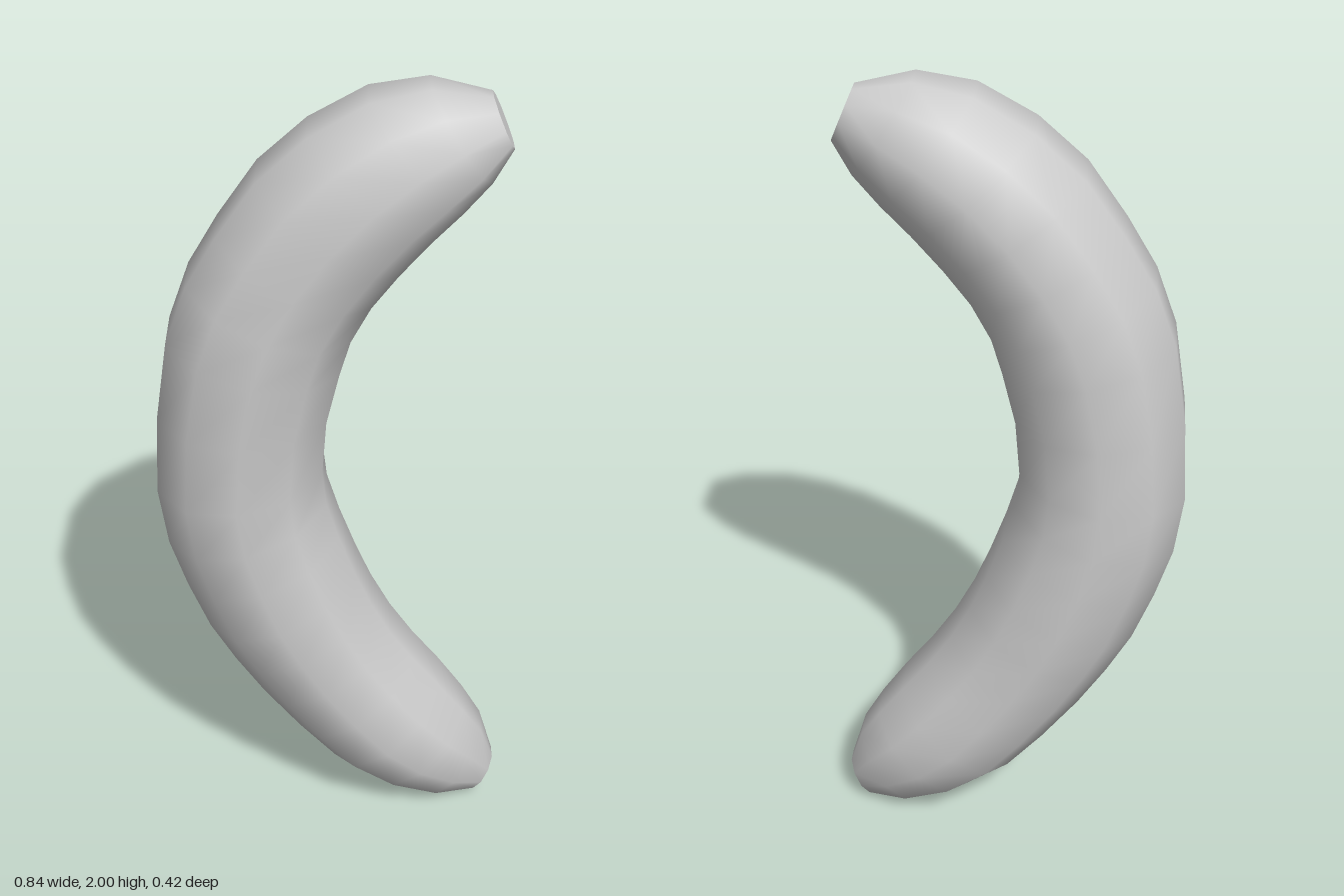
import * as THREE from 'three';

const SIDES = 10;

// Each ring: outer x, y then inner x, y of the curved body, from bottom to top
const RINGS = [
  [0.36, 0.005, 0.42, 0.11], [0.24, 0.02, 0.385, 0.22], [0.11, 0.075, 0.335, 0.3],
  [0, 0.155, 0.27, 0.39], [-0.09, 0.26, 0.2, 0.48], [-0.18, 0.38, 0.14, 0.57],
  [-0.25, 0.49, 0.09, 0.665], [-0.31, 0.6, 0.05, 0.76], [-0.36, 0.73, 0.01, 0.87],
  [-0.4, 0.86, -0.02, 0.97], [-0.42, 1.01, -0.03, 1.06], [-0.41, 1.21, -0.02, 1.2],
  [-0.38, 1.41, 0.01, 1.33], [-0.33, 1.55, 0.035, 1.415], [-0.26, 1.67, 0.08, 1.5],
  [-0.17, 1.8, 0.14, 1.58], [-0.06, 1.9, 0.21, 1.66], [0.07, 1.975, 0.275, 1.725],
  [0.2, 2, 0.335, 1.79], [0.33, 1.975, 0.38, 1.86],
];

// Ten-sided section with a flat side towards the inside and outside of the bend
function ringPoints([ox, oy, ix, iy]) {
  const centre = new THREE.Vector3((ox + ix) / 2, (oy + iy) / 2, 0);
  const across = new THREE.Vector3(ix - ox, iy - oy, 0);
  const radius = across.length() / 2 / Math.cos(Math.PI / SIDES);
  across.normalize();
  return Array.from({ length: SIDES }, (_, j) => {
    const a = ((j + 0.5) / SIDES) * Math.PI * 2;
    const p = centre.clone().addScaledVector(across, Math.cos(a) * radius);
    p.z = Math.sin(a) * radius;
    return p;
  });
}

function makeMesh(name, points, index, material) {
  const geometry = new THREE.BufferGeometry().setFromPoints(points);
  geometry.setIndex(index);
  geometry.computeVertexNormals();
  const mesh = new THREE.Mesh(geometry, material);
  mesh.name = name;
  return mesh;
}

export function createModel() {
  const group = new THREE.Group();
  group.name = 'curvedFruit';
  const material = new THREE.MeshStandardMaterial({ color: 0xcccccc });
  const rings = RINGS.map(ringPoints);

  // Smooth skin joining neighbouring rings
  const skin = [];
  for (let i = 0; i < rings.length - 1; i++) {
    for (let j = 0; j < SIDES; j++) {
      const a = i * SIDES + j;
      const b = i * SIDES + ((j + 1) % SIDES);
      skin.push(a, a + SIDES, b, b, a + SIDES, b + SIDES);
    }
  }
  group.add(makeMesh('body', rings.flat(), skin, material));

  // Flat cut ends
  const bottom = [];
  const top = [];
  for (let j = 1; j < SIDES - 1; j++) {
    bottom.push(0, j, j + 1);
    top.push(0, j + 1, j);
  }
  group.add(makeMesh('bottomEnd', rings[0], bottom, material));
  group.add(makeMesh('topEnd', rings[rings.length - 1], top, material));
  return group;
}
